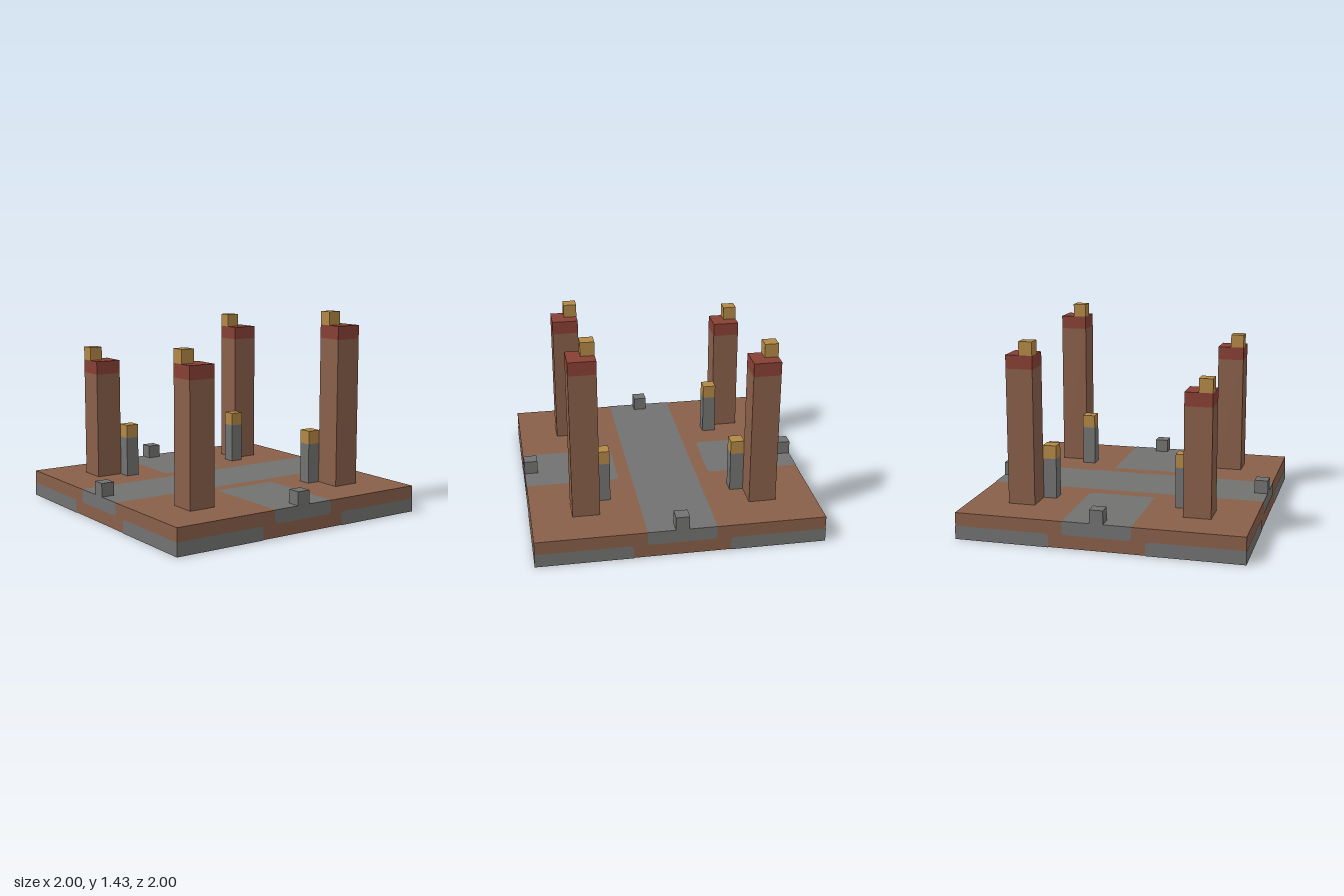
import * as THREE from 'three';

const U = 2 / 21; // one building block

const mat = (name, color) => {
  const m = new THREE.MeshStandardMaterial({ color });
  m.name = name;
  return m;
};

export function createModel() {
  const brown = mat('brown clay', 0x895f4a);
  const grey = mat('grey stone', 0x727271);
  const red = mat('dark red', 0x873f34);
  const gold = mat('gold', 0xb28846);
  const model = new THREE.Group();
  model.name = 'pillaredPlatform';

  // Box given by its lowest corner and size, in blocks
  const block = (parent, name, material, x, y, z, w, h, d) => {
    const mesh = new THREE.Mesh(new THREE.BoxGeometry(w * U, h * U, d * U), material);
    mesh.position.set((x + w / 2) * U, (y + h / 2) * U, (z + d / 2) * U);
    mesh.name = name;
    parent.add(mesh);
  };

  // Flat inlay with its own radius at each corner: [lower left, lower right, upper right, upper left]
  const R = 0.03;
  const inlay = (parent, name, x0, y0, x1, y1, [a, b, c, d]) => {
    const s = new THREE.Shape();
    s.moveTo(x0 + a, y0);
    s.lineTo(x1 - b, y0);
    if (b) s.quadraticCurveTo(x1, y0, x1, y0 + b);
    s.lineTo(x1, y1 - c);
    if (c) s.quadraticCurveTo(x1, y1, x1 - c, y1);
    s.lineTo(x0 + d, y1);
    if (d) s.quadraticCurveTo(x0, y1, x0, y1 - d);
    s.lineTo(x0, y0 + a);
    if (a) s.quadraticCurveTo(x0, y0, x0 + a, y0);
    const mesh = new THREE.Mesh(new THREE.ShapeGeometry(s, 4), grey);
    mesh.name = name;
    parent.add(mesh);
    return mesh;
  };

  // Base slab, a hair inside its stone inlays
  const slab = new THREE.Mesh(new THREE.BoxGeometry(1.996, 2 * U - 0.004, 1.996), brown);
  slab.position.y = U;
  slab.name = 'baseSlab';
  model.add(slab);

  const near = 2.5 * U, far = 3.5 * U;

  // Paths on top: one across, two arms stopping short of it
  const paths = new THREE.Group();
  paths.name = 'paths';
  paths.rotation.x = -Math.PI / 2;
  paths.position.y = 2 * U;
  inlay(paths, 'crossPath', -1, -near, 1, near, [0, 0, 0, 0]);
  inlay(paths, 'frontPath', -near, -1, near, -far, [0, 0, R, R]);
  inlay(paths, 'backPath', -near, far, near, 1, [R, R, 0, 0]);
  model.add(paths);

  for (let i = 0; i < 4; i++) {
    // Edge inlays on each of the four sides, with a marker stone above
    const side = new THREE.Group();
    side.name = 'side' + (i + 1);
    side.rotation.y = i * Math.PI / 2;
    inlay(side, 'upperEdgeStone', -near, U, near, 2 * U, [R, R, 0, 0]).position.z = 1;
    inlay(side, 'leftEdgeStone', far, 0, 1, U, [0, 0, 0, R]).position.z = 1;
    inlay(side, 'rightEdgeStone', -1, 0, -far, U, [0, 0, R, 0]).position.z = 1;
    block(side, 'markerStone', grey, -0.5, 2, 9.5, 1, 1, 1);

    // Underside corner stone
    const corner = inlay(side, 'undersideStone', far, far, 1, 1, [R, 0, 0, 0]);
    corner.rotation.x = Math.PI / 2;
    model.add(side);
  }

  // Four pillars of differing heights with lamp posts on their inner corners
  for (const [sx, sz, top] of [[1, 1, 14], [1, -1, 13], [-1, 1, 12], [-1, -1, 11]]) {
    const x = sx > 0 ? 5.5 : -7.5;
    const z = sz > 0 ? 5.5 : -7.5;
    const pillar = new THREE.Group();
    pillar.name = 'pillar';
    block(pillar, 'shaft', brown, x, 2, z, 2, top - 3, 2);
    block(pillar, 'capital', red, x, top - 1, z, 2, 1, 2);
    block(pillar, 'finial', gold, x, top, z, 1, 1, 1);
    model.add(pillar);

    const px = sx * 5 - 0.5, pz = sz * 5 - 0.5;
    const lamp = new THREE.Group();
    lamp.name = 'lampPost';
    block(lamp, 'post', grey, px, 2, pz, 1, 3, 1);
    block(lamp, 'lantern', gold, px, 5, pz, 1, 1, 1);
    model.add(lamp);
  }
  return model;
}
